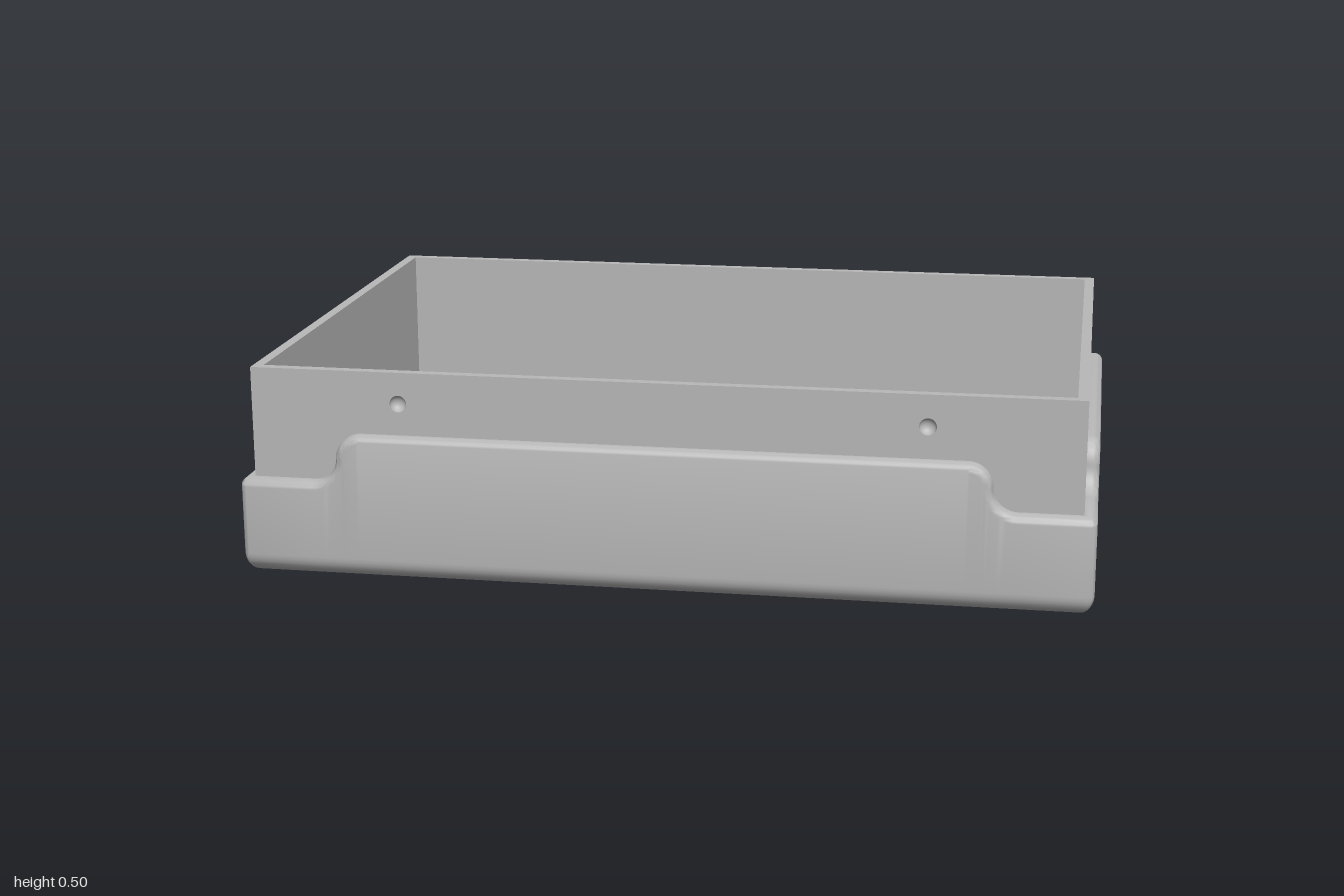
import * as THREE from 'three';
import { toCreasedNormals } from 'three/addons/utils/BufferGeometryUtils.js';

const HX = 1, HZ = 0.7;            // outer half sizes
const PLATE = 0.03, WALL = 0.025;  // outer skin and liner wall thickness
const LOW = 0.235, HIGH = 0.35;    // rim heights at corners and mid-sides
const FLOOR = 0.03, TOP = 0.5;
const STEP = (HIGH - LOW) / 2, STEP_IN = 0.235;
const CORNER = 0.02, RIM = 0.02, BASE = 0.05;
const HOLE_X = 0.615, HOLE_Y = 0.425, HOLE_R = 0.02;

// Rim line of one side: points (u, y) with an in-plane normal (nu, ny)
function rimLine(half) {
  const c = half - STEP_IN, n = 10, left = [];
  for (let i = 0; i <= n; i++) {
    const a = (i / n - 1) * Math.PI / 2, x = Math.cos(a), y = Math.sin(a);
    left.push({ u: -c - STEP + STEP * x, y: LOW + STEP + STEP * y, nu: -x, ny: -y });
  }
  for (let i = 1; i <= n; i++) {
    const a = Math.PI - (i / n) * Math.PI / 2, x = Math.cos(a), y = Math.sin(a);
    left.push({ u: -c + STEP + STEP * x, y: LOW + STEP + STEP * y, nu: x, ny: y });
  }
  const right = left.map(p => ({ ...p, u: -p.u, nu: -p.nu })).reverse();
  return [...left, ...right];
}

// Outer skin: rounded base edge, upright wall and rounded stepped rim, swept round the tray
function traySkin() {
  const stations = [];
  for (let k = 0; k < 4; k++) {
    const L = k % 2 ? HZ : HX, D = k % 2 ? HX : HZ;
    for (const p of rimLine(L)) stations.push({ k, L, D, ...p });
    for (let i = 0; i <= 6; i++) {
      stations.push({ k, L, D, phi: (i / 6) * Math.PI / 2, y: LOW, nu: 0, ny: 1 });
    }
  }
  // Rows: inset from the outer face, height (base rows) or drop from the rim line
  const rows = [];
  for (let i = 0; i <= 8; i++) {
    const a = (i / 8) * Math.PI / 2;
    rows.push({ inset: BASE * (1 - Math.sin(a)), y: BASE * (1 - Math.cos(a)), drop: RIM });
  }
  for (let i = 0; i <= 6; i++) {
    const b = (i / 6) * Math.PI / 2;
    rows.push({ inset: RIM * (1 - Math.cos(b)), drop: RIM * (1 - Math.sin(b)) });
  }
  rows.push({ inset: PLATE, drop: 0 });

  const pos = [], index = [], N = stations.length;
  for (const r of rows) {
    for (const s of stations) {
      let u, o;
      if (s.phi === undefined) {
        u = s.u - s.nu * r.drop;
        o = s.D - r.inset;
      } else {
        const m = Math.max(r.inset, CORNER), rad = Math.max(CORNER - r.inset, 0);
        u = s.L - m + rad * Math.sin(s.phi);
        o = s.D - m + rad * Math.cos(s.phi);
      }
      const y = r.y ?? s.y - s.ny * r.drop;
      const co = [1, 0, -1, 0][s.k], si = [0, 1, 0, -1][s.k];
      pos.push(u * co + o * si, y, -u * si + o * co);
    }
  }
  for (let i = 0; i < rows.length - 1; i++) {
    for (let j = 0; j < N; j++) {
      const a = i * N + j, b = i * N + (j + 1) % N;
      index.push(a, b, b + N, a, b + N, a + N);
    }
  }
  const g = new THREE.BufferGeometry();
  g.setAttribute('position', new THREE.Float32BufferAttribute(pos, 3));
  g.setIndex(index);
  return toCreasedNormals(g, 0.6);
}

export function createModel() {
  const model = new THREE.Group();
  model.name = 'tray';
  const grey = new THREE.MeshStandardMaterial({ color: 0xb8b8b8, side: THREE.DoubleSide });
  grey.name = 'grey';
  const add = (name, geo, parent = model) => {
    const mesh = new THREE.Mesh(geo, grey);
    mesh.name = name;
    parent.add(mesh);
    return mesh;
  };

  add('outerSkin', traySkin());
  add('floor', new THREE.BoxGeometry(2 * (HX - BASE), FLOOR, 2 * (HZ - BASE)))
    .position.y = FLOOR / 2;

  // Liner end walls
  const lx = HX - PLATE, lz = HZ - PLATE, y0 = 0.02, h = TOP - y0;
  for (const s of [-1, 1]) {
    add(s > 0 ? 'leftWall' : 'rightWall', new THREE.BoxGeometry(WALL, h, 2 * (lz - WALL)))
      .position.set(s * (lx - WALL / 2), y0 + h / 2, 0);
  }

  // Liner long walls: a pierced outer layer on a solid backing, with a dimple in each hole
  const depth = 0.018;
  const panel = new THREE.Shape();
  panel.moveTo(-lx, y0).lineTo(lx, y0).lineTo(lx, TOP).lineTo(-lx, TOP).closePath();
  for (const s of [-1, 1]) {
    panel.holes.push(new THREE.Path().absarc(s * HOLE_X, HOLE_Y, HOLE_R, 0, Math.PI * 2, true));
  }
  const panelGeo = new THREE.ExtrudeGeometry(panel, { depth, bevelEnabled: false, curveSegments: 24 });
  const backGeo = new THREE.BoxGeometry(2 * lx, h, WALL - depth);
  const dimpleGeo = new THREE.SphereGeometry(HOLE_R, 24, 8, 0, Math.PI * 2, 0, Math.PI / 2)
    .rotateX(-Math.PI / 2).scale(1, 1, depth / HOLE_R);
  for (const side of ['front', 'back']) {
    const wall = new THREE.Group();
    wall.name = side + 'Wall';
    if (side === 'back') wall.rotation.y = Math.PI;
    add(side + 'Panel', panelGeo, wall).position.z = lz - depth;
    add(side + 'Backing', backGeo, wall)
      .position.set(0, y0 + h / 2, lz - depth - (WALL - depth) / 2);
    for (const s of [-1, 1]) {
      add(side + 'Dimple', dimpleGeo, wall).position.set(s * HOLE_X, HOLE_Y, lz);
    }
    model.add(wall);
  }
  return model;
}
